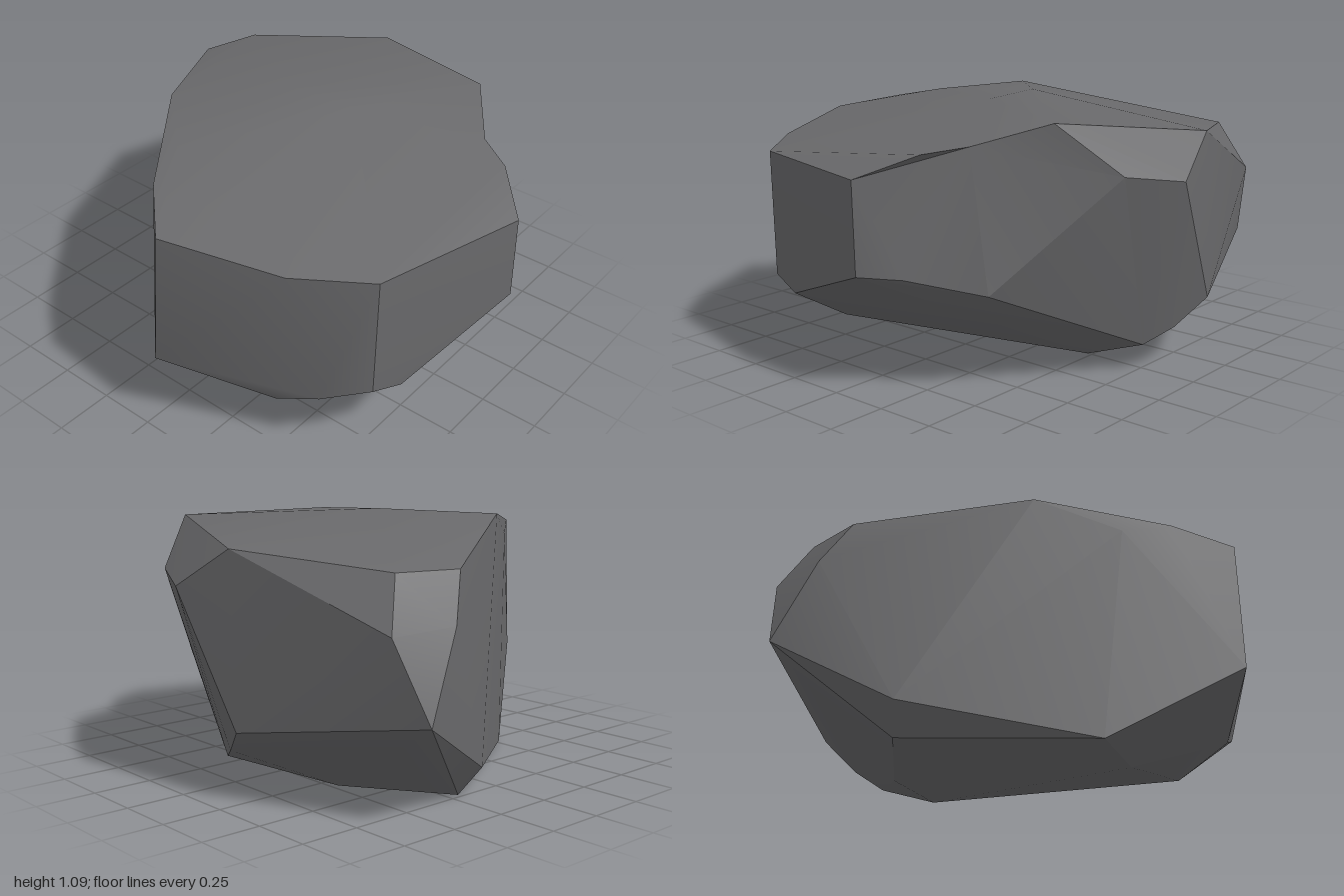
import * as THREE from 'three';
import { ConvexGeometry } from 'three/addons/geometries/ConvexGeometry.js';
import { toCreasedNormals } from 'three/addons/utils/BufferGeometryUtils.js';

// Corners of the boulder, in bands from the ground to the crown
const base = [
  [-0.73, 0, -0.2], [-0.32, 0, -0.47], [0, 0, -0.48], [-0.32, 0.01, 0.5], [0, 0, 0.47],
];
const underside = [
  [-0.81, 0.12, -0.15], [0.51, 0.1, 0.48], [0.02, 0.11, -0.77], [-0.1, 0.17, -0.84], [-0.24, 0.28, -0.91],
  [0.05, 0.36, 0.97], [0.47, 0.22, 0.73], [0.66, 0.3, 0.69], [0.82, 0.34, 0.56], [0.85, 0.29, 0.41],
  [1, 0.49, -0.13], [0.89, 0.48, -0.27], [0.67, 0.41, -0.5], [-1, 0.39, -0.62],
];
const shoulder = [
  [0.09, 0.95, 0.95], [0.56, 0.89, 0.77], [0.83, 0.87, 0.56], [1, 0.86, -0.12], [0.82, 0.95, -0.3],
  [0.31, 0.86, -0.86], [0.06, 0.82, -0.97], [-0.2, 0.98, -0.9], [-0.89, 0.71, -0.71],
  [-0.8, 0.92, -0.61], [-0.87, 0.92, -0.35], [-0.95, 0.73, -0.45], [-0.26, 0.95, 0.58], [-0.12, 1, 0.75],
];
const crown = [
  [-0.48, 1.07, 0.28], [-0.19, 1.04, 0.54], [-0.12, 1.09, -0.07], [0.2, 1.08, -0.1], [0.47, 1.06, -0.65],
  [0.72, 0.99, -0.45],
];

export function createModel() {
  const group = new THREE.Group();
  group.name = 'rock';

  const stone = new THREE.MeshStandardMaterial({ color: 0x69696b });
  stone.name = 'dark grey stone';

  const corners = [...base, ...underside, ...shoulder, ...crown].map((p) => new THREE.Vector3(...p));
  const hull = new ConvexGeometry(corners);

  // Press the last crown corner inward to leave a shallow scoop in the rim
  const scoop = corners[corners.length - 1];
  const pos = hull.attributes.position;
  const v = new THREE.Vector3();
  for (let i = 0; i < pos.count; i++) {
    if (v.fromBufferAttribute(pos, i).distanceTo(scoop) < 1e-4) pos.setXYZ(i, 0.66, 0.97, -0.4);
  }

  // Gentle bends stay smooth, strong ridges stay sharp
  const boulder = new THREE.Mesh(toCreasedNormals(hull, 0.5), stone);
  boulder.name = 'boulder';
  group.add(boulder);
  return group;
}
